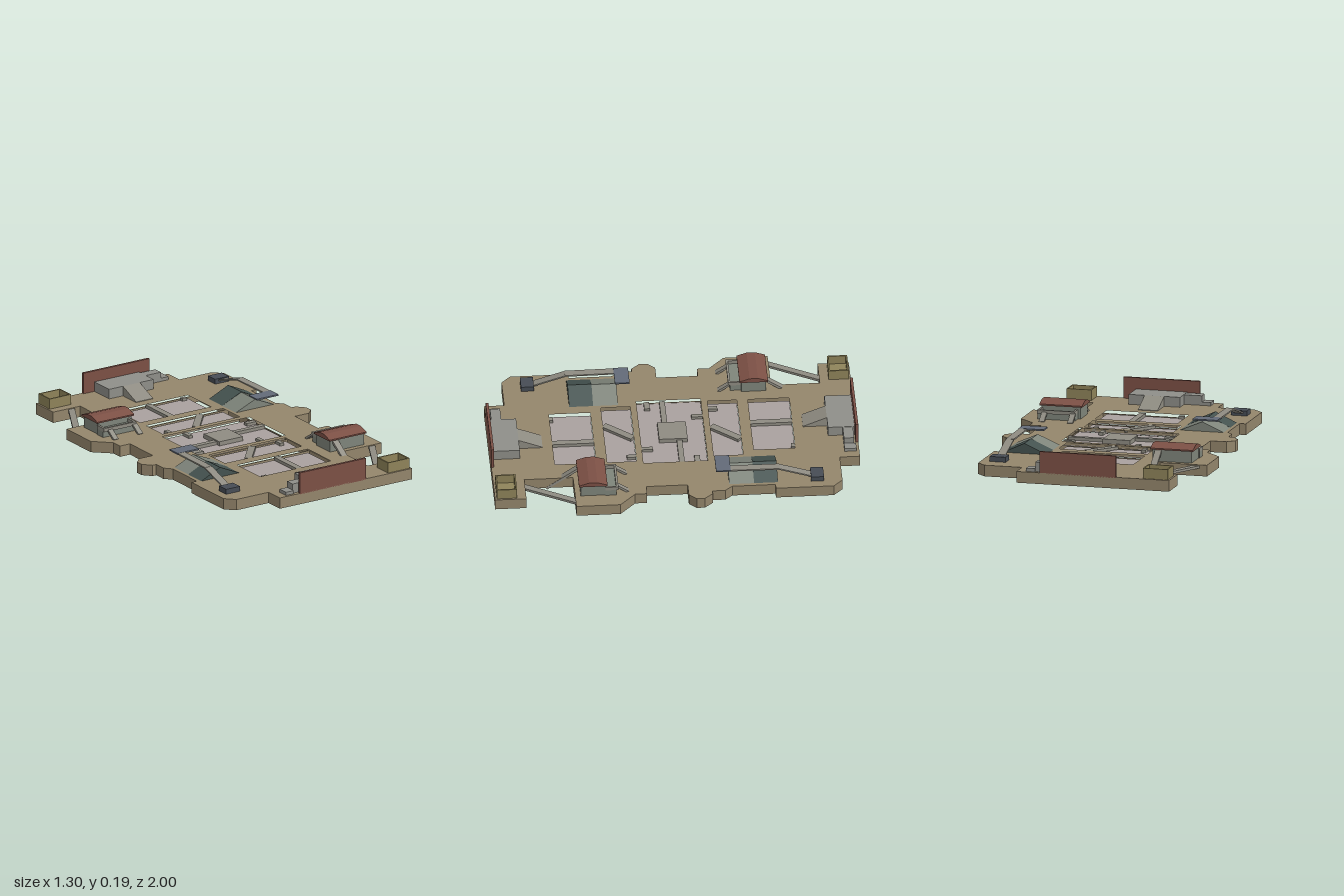
import * as THREE from 'three';

const C = { stone: 0x94866c, floor: 0xaaa19f, red: 0x7c5045, grey: 0x8f8f89, steel: 0x8f8c82,
  green: 0x455350, wall: 0x7f857b, blue: 0x636b78, dark: 0x474d55, yellow: 0x8f845a };
const BOTTOM = 0.01, DECK = 0.072, PIT = 0.05;

function add(group, name, geometry, color, side = THREE.FrontSide) {
  const mesh = new THREE.Mesh(geometry, new THREE.MeshStandardMaterial({ color, side, flatShading: true }));
  mesh.name = name;
  group.add(mesh);
  return mesh;
}

// Box given by its limits
function box(group, name, color, x0, x1, y0, y1, z0, z1) {
  const m = add(group, name, new THREE.BoxGeometry(x1 - x0, y1 - y0, z1 - z0), color);
  m.position.set((x0 + x1) / 2, (y0 + y1) / 2, (z0 + z1) / 2);
  return m;
}

// Square bar between two points
function bar(group, name, color, a, b, w, h) {
  const A = new THREE.Vector3(...a), B = new THREE.Vector3(...b);
  const m = add(group, name, new THREE.BoxGeometry(w, h, A.distanceTo(B)), color);
  m.position.copy(A).add(B).multiplyScalar(0.5);
  m.lookAt(B);
  return m;
}

const shapeOf = pts => new THREE.Shape(pts.map(p => new THREE.Vector2(...p)));

// Profile of [z, y] points extruded along x
function prismX(group, name, color, profile, x0, x1) {
  const g = new THREE.ExtrudeGeometry(shapeOf(profile.map(([z, y]) => [-z, y])), { depth: x1 - x0, bevelEnabled: false });
  g.rotateY(Math.PI / 2).translate(x0, 0, 0);
  return add(group, name, g, color);
}

// Profile of [x, y] points extruded along z
function prismZ(group, name, color, profile, z0, z1) {
  const g = new THREE.ExtrudeGeometry(shapeOf(profile), { depth: z1 - z0, bevelEnabled: false });
  g.translate(0, 0, z0);
  return add(group, name, g, color);
}

// Half outline [x, z]; the other half is its half-turn
const HALF = [[0.3, -1], [0.3, -0.89], [0.51, -0.89], [0.56, -0.84], [0.56, -0.525], [0.525, -0.525],
  [0.525, -0.29], [0.56, -0.25], [0.56, -0.18], [0.585, -0.18], [0.625, -0.135], [0.625, -0.09], [0.585, -0.05],
  [0.495, -0.05], [0.495, 0.175], [0.56, 0.175], [0.56, 0.24], [0.65, 0.325], [0.65, 0.565], [0.385, 0.565],
  [0.385, 0.83], [0.56, 0.83], [0.56, 1]];
const OUTLINE = [...HALF, ...HALF.map(([x, z]) => [-x, -z])];

// Sunken courts [x0, x1, z0, z1]
const HALF_PITS = [[-0.2, 0.26, 0.43, 0.655], [-0.24, 0.26, 0.21, 0.37]];
const PITS = [[-0.285, 0.28, -0.175, 0.175], ...HALF_PITS, ...HALF_PITS.map(([a, b, c, d]) => [-b, -a, -d, -c])];

function buildBase(group) {
  // Deck with openings
  const deck = shapeOf(OUTLINE.map(([x, z]) => [x, -z]));
  for (const [a, b, c, d] of PITS)
    deck.holes.push(new THREE.Path([[a, -c], [b, -c], [b, -d], [a, -d]].map(p => new THREE.Vector2(...p))));
  const g = new THREE.ExtrudeGeometry(deck, { depth: DECK - PIT, bevelEnabled: false });
  g.rotateX(-Math.PI / 2).translate(0, PIT, 0);
  add(group, 'deck', g, C.stone);

  for (const [a, b, c, d] of PITS) box(group, 'courtFloor', C.floor, a, b, PIT - 0.004, PIT + 0.002, c, d);

  // Outer skirt, open underneath
  const pos = [], index = [];
  OUTLINE.forEach(([x, z], i) => {
    const [u, v] = OUTLINE[(i + 1) % OUTLINE.length];
    pos.push(x, BOTTOM, z, u, BOTTOM, v, u, DECK, v, x, DECK, z);
    const k = i * 4;
    index.push(k, k + 2, k + 1, k, k + 3, k + 2);
  });
  const skirt = new THREE.BufferGeometry();
  skirt.setAttribute('position', new THREE.Float32BufferAttribute(pos, 3));
  skirt.setIndex(index);
  skirt.computeVertexNormals();
  add(group, 'skirt', skirt, C.stone, THREE.DoubleSide);
}

// Everything that occurs twice, a half-turn apart
function buildHalf() {
  const g = new THREE.Group();

  // Ribs under the deck
  const rib = (x0, x1, z0, z1) => box(g, 'rib', C.stone, x0, x1, BOTTOM, PIT, z0, z1);
  rib(-0.55, 0.55, 0.18, 0.186);
  rib(-0.3, 0.3, 0.395, 0.401);
  rib(-0.55, 0.38, 0.68, 0.686);
  rib(0.29, 0.296, -0.68, 0.68);
  rib(0.3, 0.55, 0.24, 0.246);
  rib(-0.52, -0.3, 0.525, 0.531);

  // Beams across the courts
  box(g, 'courtBeam', C.steel, 0.04, 0.075, PIT, DECK - 0.002, 0.43, 0.655);
  bar(g, 'diagonalBeam', C.steel, [0.04, 0.063, 0.215], [-0.085, 0.063, 0.365], 0.04, 0.016);
  box(g, 'centreBeam', C.steel, 0.08, 0.28, PIT, DECK - 0.002, -0.05, -0.02);
  for (const [x, z, w, d] of [[0.25, -0.12, 0.06, 0.03], [0.14, 0.145, 0.025, 0.06], [0.205, 0.235, 0.025, 0.05], [-0.165, 0.645, 0.03, 0.02]])
    box(g, 'courtStub', C.steel, x - w / 2, x + w / 2, PIT, DECK - 0.004, z - d / 2, z + d / 2);

  // End wall
  box(g, 'endWall', C.red, -0.17, 0.26, DECK - 0.005, 0.19, 0.985, 1);

  // Platform with a ramp and a low side wing
  box(g, 'platform', C.grey, -0.1, 0.19, DECK, 0.127, 0.84, 0.985);
  box(g, 'platformWing', C.grey, -0.2, -0.1, DECK, 0.125, 0.92, 0.975);
  box(g, 'wingStep', C.grey, -0.25, -0.2, DECK, 0.09, 0.92, 0.985);
  prismX(g, 'ramp', C.steel, [[0.84, 0.06], [0.84, 0.127], [0.71, 0.075], [0.71, 0.06]], -0.01, 0.1);

  // Open-topped crate
  const t = 0.008;
  box(g, 'crateFloor', C.yellow, 0.41, 0.55, DECK, 0.08, 0.88, 0.99);
  for (const z of [0.88, 0.99 - t]) box(g, 'crateSide', C.yellow, 0.41, 0.55, DECK, 0.13, z, z + t);
  for (const x of [0.41, 0.55 - t]) box(g, 'crateEnd', C.yellow, x, x + t, DECK, 0.13, 0.88 + t, 0.99 - t);

  // Red-roofed house with a porch and sloping props
  box(g, 'houseBody', C.wall, 0.335, 0.555, DECK, 0.142, 0.4, 0.535);
  prismX(g, 'houseRoof', C.red, [[0.39, 0.137], [0.39, 0.145], [0.445, 0.163], [0.49, 0.163], [0.545, 0.145], [0.545, 0.137]], 0.325, 0.565);
  box(g, 'porchFloor', C.wall, 0.35, 0.56, DECK, 0.105, 0.34, 0.4);
  box(g, 'porchRail', C.steel, 0.35, 0.56, 0.105, 0.125, 0.33, 0.342);
  for (const x of [0.35, 0.548]) box(g, 'porchEnd', C.steel, x, x + 0.012, 0.105, 0.125, 0.342, 0.4);
  for (const x of [0.36, 0.52]) bar(g, 'porchProp', C.steel, [x, 0.11, 0.335], [x, 0.07, 0.275], 0.03, 0.012);
  bar(g, 'houseProp', C.steel, [0.368, 0.13, 0.53], [0.368, 0.006, 0.71], 0.036, 0.014);

  // Footbridge across the notch
  bar(g, 'footbridge', C.steel, [0.595, 0.06, 0.55], [0.435, 0.06, 0.84], 0.036, 0.014);

  // Tent-shaped shed, dark in front and light behind
  const tent = y => [[-0.505, DECK], [-0.26, DECK], [-0.385, y]];
  prismZ(g, 'shedFront', C.green, tent(0.128), 0.41, 0.54);
  prismZ(g, 'shedBack', C.wall, tent(0.125), 0.275, 0.41);

  // Long conveyor with its end plate and foot
  bar(g, 'conveyor', C.steel, [-0.465, 0.148, 0.27], [-0.465, 0.146, 0.55], 0.045, 0.008);
  bar(g, 'conveyorSlope', C.steel, [-0.465, 0.146, 0.545], [-0.465, 0.08, 0.75], 0.045, 0.008);
  box(g, 'endPlate', C.blue, -0.49, -0.35, 0.145, 0.153, 0.205, 0.285);
  box(g, 'conveyorFoot', C.dark, -0.51, -0.42, DECK, 0.1, 0.72, 0.79);
  return g;
}

export function createModel() {
  const model = new THREE.Group();
  const base = new THREE.Group();
  base.name = 'base';
  buildBase(base);
  box(base, 'centreBlock', C.steel, -0.08, 0.075, PIT, 0.076, -0.08, 0.075);
  model.add(base);
  ['frontHalf', 'backHalf'].forEach((name, i) => {
    const half = buildHalf();
    half.name = name;
    half.rotation.y = i * Math.PI;
    model.add(half);
  });
  return model;
}
